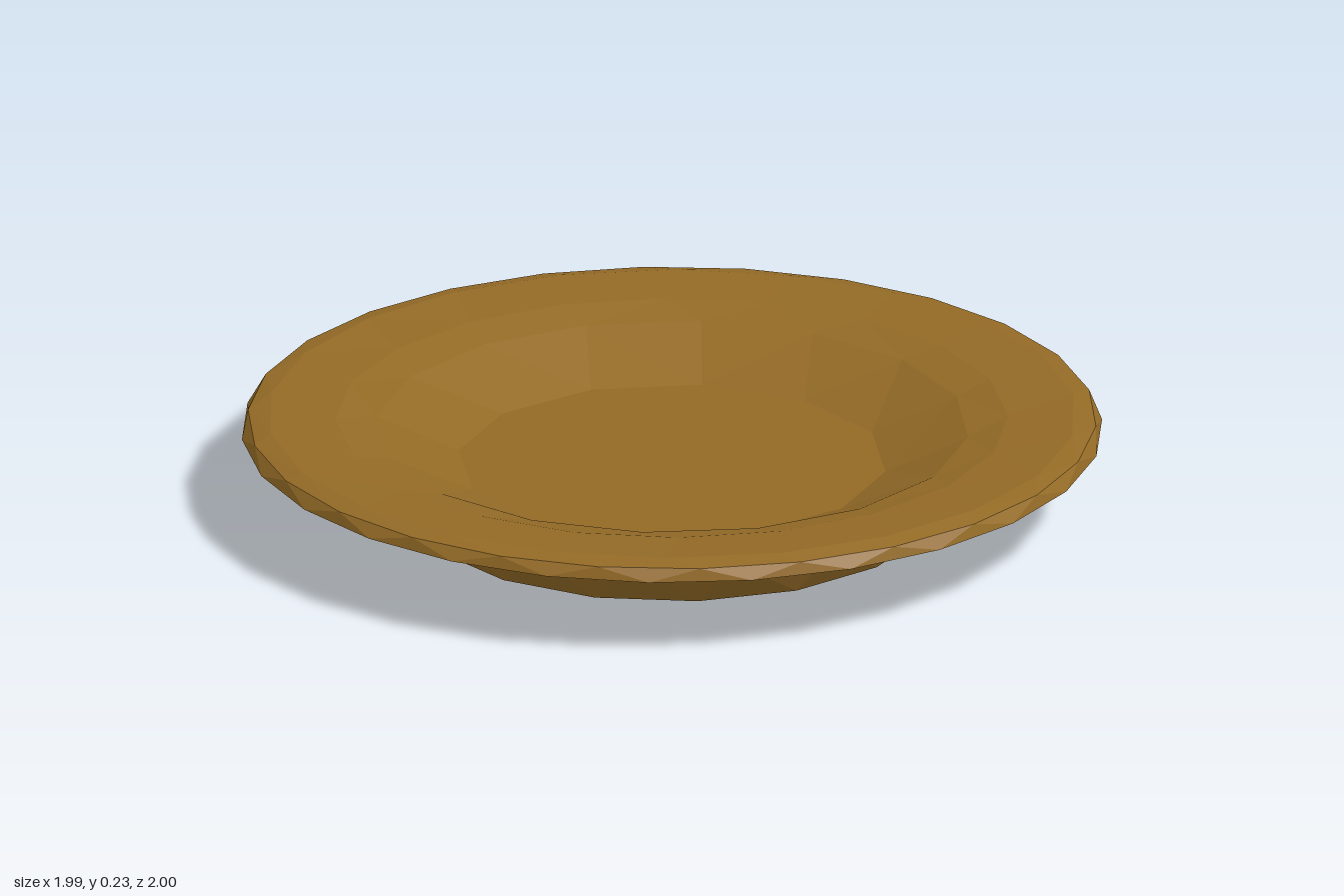
import * as THREE from 'three';

const wood = new THREE.MeshStandardMaterial({ color: 0x936a26 });
wood.name = 'ochre brown';
wood.flatShading = true;
const glaze = new THREE.MeshStandardMaterial({ color: 0x61747c });
glaze.name = 'blue grey';
glaze.flatShading = true;

// A polygon ring: radius, height, number of sides, turn in steps
const ring = (r, y, n, turn = 0) => ({ r, y, n, turn });
const angle = (g, i) => ((i + g.turn) / g.n) * Math.PI * 2;
const point = (g, i) => [g.r * Math.sin(angle(g, i)), g.y, g.r * Math.cos(angle(g, i))];

// Facets between successive rings, which may differ in side count
function stitch(rings) {
  const pos = [];
  for (let k = 0; k + 1 < rings.length; k++) {
    const a = rings[k], b = rings[k + 1];
    let i = 0, j = 0;
    while (i < a.n || j < b.n) {
      const stepA = j >= b.n || (i < a.n && angle(a, i + 0.5) <= angle(b, j + 0.5));
      if (stepA) {
        if (a.r > 0) pos.push(...point(a, i), ...point(a, i + 1), ...point(b, j));
        i++;
      } else {
        if (b.r > 0) pos.push(...point(a, i), ...point(b, j + 1), ...point(b, j));
        j++;
      }
    }
  }
  const geo = new THREE.BufferGeometry();
  geo.setAttribute('position', new THREE.Float32BufferAttribute(pos, 3));
  geo.computeVertexNormals();
  return geo;
}

export function createModel() {
  const plate = new THREE.Group();
  plate.name = 'plate';
  const add = (name, material, rings) => {
    const mesh = new THREE.Mesh(stitch(rings), material);
    mesh.name = name;
    plate.add(mesh);
  };

  const foot = ring(0.615, 0, 16);
  const bandLow = ring(0.685, 0.107, 18, 0.5);
  const bandHigh = ring(0.765, 0.158, 20);
  const rimLow = ring(1, 0.193, 26);
  const rimHigh = ring(0.985, 0.222, 26, 0.5);
  const lip = ring(0.78, 0.222, 20);

  add('base', wood, [ring(0, 0, 1), foot, bandLow]);
  add('glazedBand', glaze, [bandLow, bandHigh]);
  add('rim', wood, [bandHigh, rimLow, rimHigh, ring(0.94, 0.232, 22), lip]);
  add('bowl', wood, [lip, ring(0.69, 0.2, 16, 0.5), ring(0.5, 0.115, 12, 0.3), ring(0, 0.115, 1)]);
  return plate;
}
